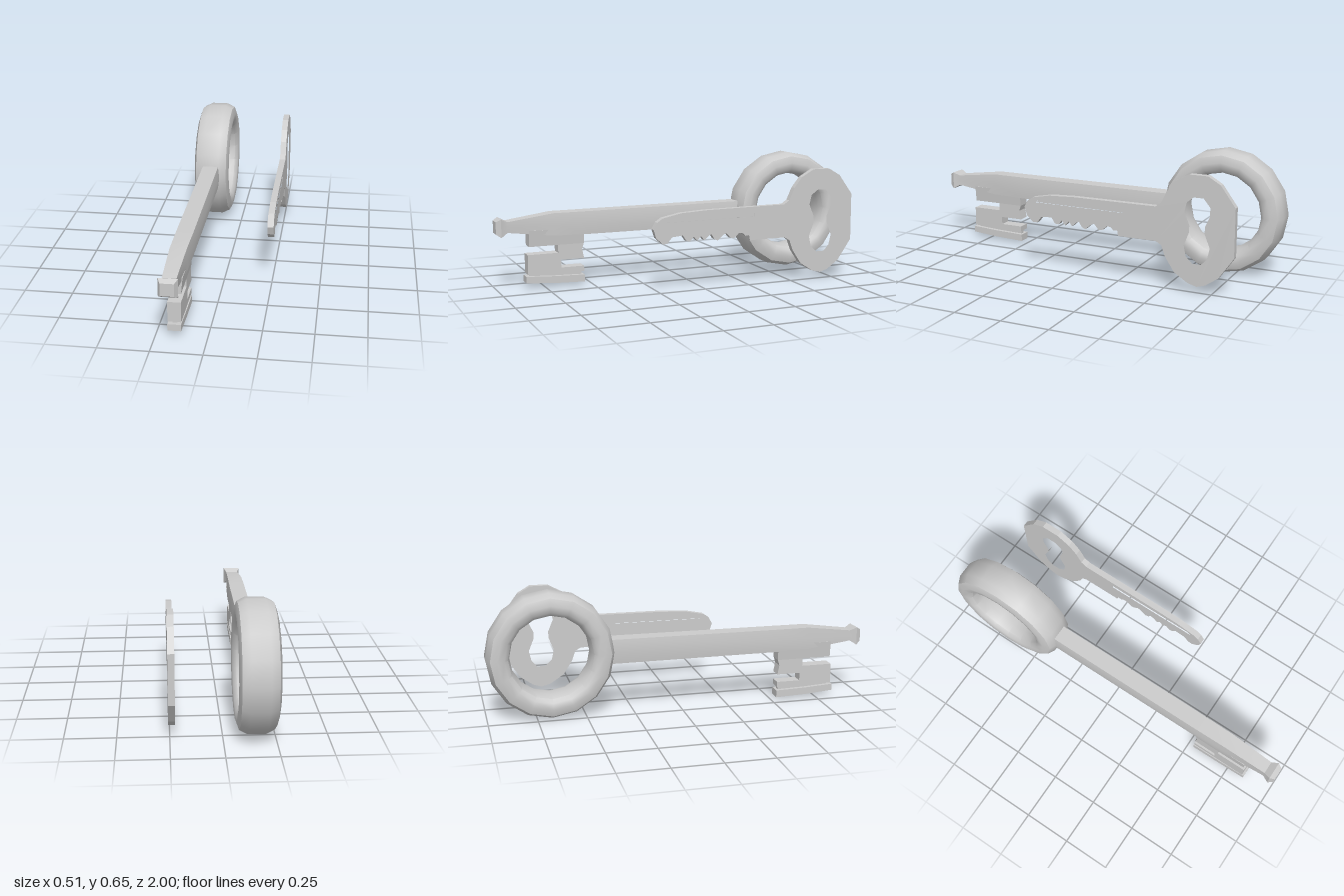
import * as THREE from 'three';
import { toCreasedNormals } from 'three/addons/utils/BufferGeometryUtils.js';

const grey = new THREE.MeshStandardMaterial({ color: 0xcccccc });

function part(name, geometry) {
  const mesh = new THREE.Mesh(geometry, grey);
  mesh.name = name;
  return mesh;
}

const toPoints = (list) => list.map(([z, y]) => new THREE.Vector2(-z, y));

// Plate cut from a [z, y] outline, centred on x = 0
function plate(outline, thickness, holes = []) {
  const shape = new THREE.Shape(toPoints(outline));
  for (const hole of holes) shape.holes.push(new THREE.Path(toPoints(hole)));
  const g = new THREE.ExtrudeGeometry(shape, { depth: thickness, bevelEnabled: false });
  g.translate(0, 0, -thickness / 2);
  g.rotateY(Math.PI / 2);
  return g;
}

// Six-sided sections [z, bottom, top, half width, side bulge] joined along z
function loft(sections) {
  const pos = [], index = [], n = 6;
  for (const [z, b, t, w, k] of sections) {
    const m = (b + t) / 2;
    pos.push(w, b, z, w + k, m, z, w, t, z, -w, t, z, -w - k, m, z, -w, b, z);
  }
  for (let s = 0; s < sections.length - 1; s++) {
    for (let i = 0; i < n; i++) {
      const a = s * n + i, b = s * n + (i + 1) % n;
      index.push(a, b, b + n, a, b + n, a + n);
    }
  }
  const last = (sections.length - 1) * n;
  for (let i = 1; i < n - 1; i++) {
    index.push(0, i + 1, i, last, last + i, last + i + 1);
  }
  const g = new THREE.BufferGeometry();
  g.setAttribute('position', new THREE.Float32BufferAttribute(pos, 3));
  g.setIndex(index);
  return toCreasedNormals(g, 0.45);
}

function oldKey() {
  const key = new THREE.Group();
  key.name = 'oldKey';

  // Thick ring handle
  const profile = [
    [0.325, -0.045], [0.325, 0.045], [0.305, 0.085], [0.268, 0.0975],
    [0.235, 0.0925], [0.216, 0.075], [0.206, 0.03], [0.206, -0.03],
    [0.216, -0.075], [0.235, -0.0925], [0.268, -0.0975], [0.305, -0.085], [0.325, -0.045],
  ].map(([r, x]) => new THREE.Vector2(r, x));
  const ring = part('ringHandle', toCreasedNormals(new THREE.LatheGeometry(profile, 16), 0.65));
  ring.rotation.z = Math.PI / 2;
  ring.position.set(0, 0.328, -0.672);
  key.add(ring);

  // Shaft with tapered nose and flared tip
  key.add(part('shaft', loft([
    [-0.42, 0.265, 0.392, 0.043, 0.008],
    [0.5, 0.268, 0.39, 0.043, 0.006],
    [0.7, 0.272, 0.39, 0.041, 0.004],
    [0.94, 0.302, 0.358, 0.034, 0],
    [0.975, 0.28, 0.375, 0.047, 0],
    [1.0, 0.297, 0.361, 0.033, 0],
  ])));

  // Root of the bit, widening into the shaft
  const root = new THREE.BoxGeometry(0.066, 0.085, 0.295);
  const p = root.attributes.position;
  for (let i = 0; i < p.count; i++) if (p.getY(i) > 0) p.setX(i, Math.sign(p.getX(i)) * 0.042);
  root.translate(0, 0.2625, 0.6825);
  root.computeVertexNormals();
  key.add(part('bitRoot', root));

  // Bit with one notch at the front and one at the back
  key.add(part('bit', plate([
    [0.675, 0.22], [0.675, 0.178], [0.838, 0.178], [0.838, 0.073], [0.535, 0.07],
    [0.535, 0.098], [0.66, 0.098], [0.66, 0.14], [0.535, 0.14], [0.545, 0.19], [0.535, 0.22],
  ], 0.066)));

  // Thin neck and the foot below it
  key.add(part('bitNeck', plate([[0.825, 0.08], [0.825, 0.05], [0.545, 0.045], [0.545, 0.08]], 0.024)));
  key.add(part('bitFoot', plate([
    [0.848, 0.064], [0.848, 0.03], [0.7, 0.018], [0.532, 0.012], [0.532, 0.05], [0.7, 0.055],
  ], 0.066)));
  return key;
}

function flatKey() {
  const key = new THREE.Group();
  key.name = 'flatKey';

  const outline = [
    // Top edge of the blade, from tip to bow
    [0.29, 0.335], [0.27, 0.37], [0.24, 0.39], [0.14, 0.41], [0, 0.417], [-0.45, 0.42],
    // Bow
    [-0.48, 0.44], [-0.51, 0.505], [-0.555, 0.56], [-0.625, 0.598], [-0.72, 0.598],
    [-0.785, 0.56], [-0.862, 0.455], [-0.862, 0.205], [-0.785, 0.095], [-0.72, 0.05],
    [-0.675, 0.036], [-0.625, 0.05], [-0.555, 0.095], [-0.505, 0.17], [-0.485, 0.225], [-0.455, 0.243],
    // Teeth along the lower edge
    [-0.25, 0.243], [-0.245, 0.27], [-0.225, 0.268], [-0.205, 0.285], [-0.185, 0.285],
    [-0.16, 0.262], [-0.14, 0.262], [-0.115, 0.29], [-0.1, 0.285], [-0.065, 0.255],
    [-0.045, 0.265], [-0.03, 0.29], [-0.015, 0.285], [0.01, 0.262], [0.03, 0.285],
    [0.05, 0.262], [0.07, 0.285], [0.09, 0.262], [0.11, 0.265], [0.13, 0.295],
    [0.19, 0.29], [0.215, 0.258], [0.24, 0.258], [0.275, 0.29],
  ];
  // Waisted hole in the bow
  const bowHole = [
    [-0.65, 0.487], [-0.7, 0.487], [-0.735, 0.445], [-0.735, 0.4], [-0.71, 0.345], [-0.71, 0.31],
    [-0.738, 0.24], [-0.725, 0.185], [-0.695, 0.152], [-0.65, 0.152], [-0.615, 0.185],
    [-0.603, 0.24], [-0.63, 0.31], [-0.63, 0.345], [-0.603, 0.41], [-0.615, 0.46],
  ];
  // Long groove along the blade, recessed on both sides
  const groove = [[0.22, 0.366], [0.2, 0.386], [-0.275, 0.386], [-0.275, 0.366]];
  key.add(part('flatKeyBody', plate(outline, 0.032, [bowHole, groove])));
  key.add(part('grooveFloor', plate(groove, 0.02)));
  return key;
}

export function createModel() {
  const group = new THREE.Group();
  group.name = 'keys';
  const big = oldKey();
  big.position.x = -0.16;
  const small = flatKey();
  small.position.x = 0.241;
  group.add(big, small);
  return group;
}
